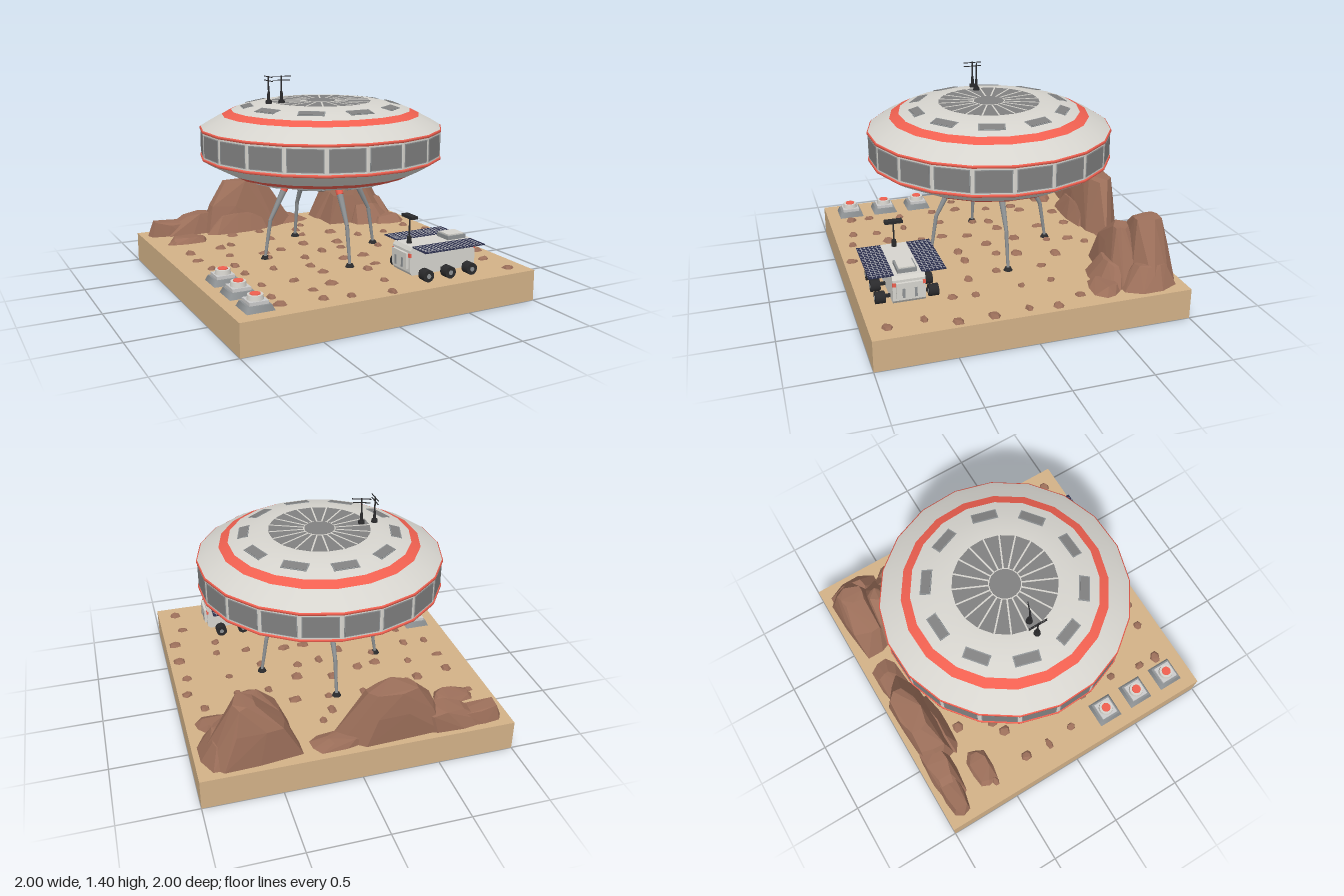
import * as THREE from 'three';
import { ConvexGeometry } from 'three/addons/geometries/ConvexGeometry.js';

const mat = (color, extra = {}) => new THREE.MeshStandardMaterial({ color, ...extra });
const M = {
  shell: mat(0xd6d4ce), red: mat(0xf06050), glass: mat(0x808080), grey: mat(0xcccccc), steel: mat(0x8e9294),
  dark: mat(0x2a2a2c), sand: mat(0xd2b187), navy: mat(0x2b2f4c),
  rock: mat(0x9c6f5a, { flatShading: true }), wall: mat(0xd6d4ce, { flatShading: true }),
};
const SIDES = 20, STEP = Math.PI * 2 / SIDES, OFFSET = THREE.MathUtils.degToRad(11.5);

let seed = 7;
const rand = () => (seed = (seed * 16807) % 2147483647) / 2147483647;
const jitter = a => (rand() - 0.5) * 2 * a;

function add(parent, name, geo, material, x = 0, y = 0, z = 0) {
  const mesh = new THREE.Mesh(geo, material);
  mesh.name = name;
  mesh.position.set(x, y, z);
  parent.add(mesh);
  return mesh;
}
function group(parent, name, x = 0, y = 0, z = 0) {
  const g = new THREE.Group();
  g.name = name;
  g.position.set(x, y, z);
  parent.add(g);
  return g;
}
const box = (p, name, m, w, h, d, x, y, z) => add(p, name, new THREE.BoxGeometry(w, h, d), m, x, y, z);
const cyl = (p, name, m, rTop, rBottom, h, x, y, z, n = 16) =>
  add(p, name, new THREE.CylinderGeometry(rTop, rBottom, h, n, 1, false, OFFSET), m, x, y, z);

// Tapered rod between two points
function rod(p, name, m, a, b, ra, rb, n = 8) {
  const A = new THREE.Vector3(...a), B = new THREE.Vector3(...b), dir = B.clone().sub(A);
  const mesh = add(p, name, new THREE.CylinderGeometry(rb, ra, dir.length(), n), m);
  mesh.position.copy(A).add(B).multiplyScalar(0.5);
  mesh.quaternion.setFromUnitVectors(new THREE.Vector3(0, 1, 0), dir.normalize());
}

// Faceted stone: hull of jittered rings, each level is [y, x, z, width, depth]
function stone(parent, name, levels, n, rough) {
  const pts = [];
  levels.forEach(([y, x, z, w, d], level) => {
    for (let i = 0; i < n; i++) {
      const a = (i + 0.5 + jitter(0.2)) / n * Math.PI * 2, c = Math.cos(a), s = Math.sin(a);
      const k = 0.5 / Math.pow(c ** 4 + s ** 4, 0.25) * (1 + jitter(rough));
      pts.push(new THREE.Vector3(x + c * w * k, y + (level ? jitter(rough * 0.15) : 0), z + s * d * k));
    }
  });
  return add(parent, name, new ConvexGeometry(pts), M.rock);
}

const lathe = (p, name, m, pts) => add(p, name,
  new THREE.LatheGeometry(pts.map(q => new THREE.Vector2(...q)), SIDES, OFFSET), m);

// Upper (s = 1) or lower (s = -1) half of the saucer
function dome(parent, s) {
  const g = group(parent, s > 0 ? 'upperDome' : 'lowerDome');
  const strip = (name, m, pts) => {
    const q = pts.map(([r, y]) => [r, y * s]);
    lathe(g, name, m, s > 0 ? q : q.reverse());
  };
  strip('rimStripe', M.red, [[0.787, 0.08], [0.797, 0.083], [0.797, 0.095], [0.79, 0.099]]);
  strip('outerShell', M.shell, [[0.79, 0.099], [0.74, 0.13], [0.65, 0.177]]);
  strip('redBand', M.red, [[0.65, 0.177], [0.59, 0.207]]);
  strip('innerShell', M.shell, [[0.59, 0.207], [0.5, 0.235], [0.4, 0.256], [0.33, 0.26]]);
  // Central disc with spokes and hub
  cyl(g, 'centreDisc', M.glass, 0.33, 0.33, 0.006, 0, 0.258 * s, 0, SIDES);
  cyl(g, 'hubRing', M.shell, 0.105, 0.105, 0.008, 0, 0.259 * s, 0, SIDES);
  cyl(g, 'hub', M.glass, 0.098, 0.098, 0.012, 0, 0.259 * s, 0, SIDES);
  for (let i = 0; i < SIDES; i++) {
    const pivot = group(g, 'spokePivot');
    pivot.rotation.y = OFFSET + i * STEP;
    box(pivot, 'spoke', M.shell, 0.01, 0.006, 0.23, 0, 0.26 * s, 0.215);
  }
  // Ten small skylights
  for (let i = 0; i < SIDES; i += 2) {
    const pivot = group(g, 'skylightPivot');
    pivot.rotation.y = OFFSET + (i - 0.5) * STEP;
    const hatch = group(pivot, 'skylight', 0, 0.234 * s, 0.487);
    hatch.rotation.x = 0.25 * s;
    box(hatch, 'skylightFrame', M.steel, 0.165, 0.01, 0.07, 0, 0, 0);
    box(hatch, 'skylightGlass', M.glass, 0.15, 0.014, 0.056, 0, 0, 0);
  }
}

function saucer(root) {
  const g = group(root, 'saucer', -0.007, 0.965, 0);
  dome(g, 1);
  dome(g, -1);
  lathe(g, 'windowWall', M.wall, [[0.79, -0.085], [0.79, 0.085]]);
  for (let i = 0; i < SIDES; i++) {
    const pivot = group(g, 'windowPivot');
    pivot.rotation.y = OFFSET + (i + 0.5) * STEP;
    box(pivot, 'windowFrame', M.steel, 0.222, 0.142, 0.01, 0, 0, 0.777);
    box(pivot, 'window', M.glass, 0.21, 0.132, 0.01, 0, 0, 0.779);
  }
  // Roof antennas
  [[-0.372, Math.PI / 2], [-0.282, -0.35]].forEach(([x, turn], i) => {
    const a = group(g, 'antenna', x, 0.26, 0);
    a.rotation.y = turn;
    cyl(a, 'antennaBase', M.dark, 0.02, 0.022, 0.02, 0, 0.01, 0);
    cyl(a, 'antennaSleeve', M.dark, 0.008, 0.011, 0.06, 0, 0.045, 0);
    cyl(a, 'antennaMast', M.dark, 0.005, 0.005, 0.175, 0, 0.0875, 0);
    box(a, 'crossbar', M.dark, 0.125, 0.005, 0.005, 0, 0.17, 0);
    box(a, 'crossbar', M.dark, i ? 0.11 : 0.125, 0.005, 0.005, 0, 0.145, 0);
  });
  // Four bent legs
  for (let i = 0; i < 4; i++) {
    const leg = group(root, 'leg', -0.007, 0, 0);
    leg.rotation.y = i * Math.PI / 2;
    rod(leg, 'legThigh', M.steel, [0, 0.46, 0.37], [0, 0.72, 0.235], 0.013, 0.026);
    rod(leg, 'legStripe', M.red, [0, 0.645, 0.274], [0, 0.675, 0.258], 0.0235, 0.0255);
    rod(leg, 'legShin', M.steel, [0, 0.21, 0.41], [0, 0.46, 0.37], 0.01, 0.014);
    cyl(leg, 'foot', M.dark, 0.02, 0.03, 0.02, 0, 0.21, 0.41, 12);
  }
}

function rover(root) {
  const g = group(root, 'rover', 0.43, 0, 0.71);
  const s = new THREE.Shape([[-0.225, 0.225], [0.225, 0.225], [0.24, 0.245], [0.24, 0.38], [0.225, 0.402],
    [-0.225, 0.402], [-0.24, 0.38], [-0.24, 0.245]].map(p => new THREE.Vector2(...p)));
  add(g, 'roverBody', new THREE.ExtrudeGeometry(s, { depth: 0.2, bevelEnabled: false }), M.shell, 0, 0, -0.1);
  for (const e of [-1, 1]) {
    box(g, 'endPlate', M.shell, 0.025, 0.1, 0.16, e * 0.245, 0.315, 0);
    for (const z of [-0.037, 0.037]) {
      box(g, 'endSlot', M.steel, 0.02, 0.06, 0.016, e * 0.252, 0.3, z);
      box(g, 'tailLight', M.red, 0.012, 0.025, 0.02, e * 0.238, 0.352, z * 2.45);
    }
  }
  // Roof hatch and camera mast
  box(g, 'hatchBase', M.steel, 0.135, 0.03, 0.12, 0.13, 0.412, 0);
  box(g, 'hatchLid', M.shell, 0.115, 0.03, 0.1, 0.13, 0.42, 0);
  cyl(g, 'mastBase', M.dark, 0.014, 0.016, 0.045, -0.185, 0.424, 0);
  cyl(g, 'mast', M.dark, 0.005, 0.005, 0.17, -0.185, 0.485, 0);
  box(g, 'cameraHead', M.dark, 0.045, 0.018, 0.115, -0.185, 0.572, 0);
  for (const side of [-1, 1]) {
    // Solar panel with cell lines
    const panel = group(g, 'solarPanel', -0.003, 0.401, side * 0.16);
    box(panel, 'solarSheet', M.navy, 0.435, 0.006, 0.152, 0, 0, 0);
    for (let i = 1; i < 18; i++) box(panel, 'cellLine', M.grey, 0.0025, 0.008, 0.152, -0.2175 + i * 0.02417, 0, 0);
    for (let i = 1; i < 6; i++) box(panel, 'cellLine', M.grey, 0.435, 0.008, 0.0025, 0, 0, -0.076 + i * 0.0253);
    // Wheels and axles
    for (const x of [-0.165, -0.005, 0.155]) {
      cyl(g, 'wheel', M.dark, 0.038, 0.038, 0.06, x, 0.24, side * 0.165, 14).rotation.x = Math.PI / 2;
      cyl(g, 'wheelHub', M.steel, 0.015, 0.015, 0.066, x, 0.24, side * 0.165, 10).rotation.x = Math.PI / 2;
      box(g, 'axle', M.dark, 0.018, 0.018, 0.08, x, 0.245, side * 0.11);
    }
  }
}

export function createModel() {
  const root = new THREE.Group();
  root.name = 'desertStation';
  box(root, 'ground', M.sand, 2, 0.2, 2, 0, 0.1, 0);
  saucer(root);
  rover(root);

  // Landing beacons
  for (const z of [0.32, 0.573, 0.826]) {
    const b = group(root, 'beacon', -0.835, 0.2, z);
    const base = cyl(b, 'beaconBase', M.steel, 0.099, 0.12, 0.035, 0, 0.0175, 0, 4);
    base.rotation.y = Math.PI / 4 - OFFSET;
    box(b, 'beaconPlate', M.grey, 0.115, 0.03, 0.115, 0, 0.04, 0);
    cyl(b, 'beaconDrum', M.shell, 0.046, 0.05, 0.03, 0, 0.068, 0);
    cyl(b, 'beaconLamp', M.red, 0.03, 0.032, 0.01, 0, 0.084, 0);
  }

  // Rock outcrops along the back edge
  [
    [[0.2, -0.22, -0.84, 0.7, 0.25], [0.38, -0.25, -0.86, 0.5, 0.22], [0.545, -0.21, -0.87, 0.32, 0.16]],
    [[0.2, -0.6, -0.87, 0.5, 0.2], [0.33, -0.54, -0.88, 0.28, 0.14]],
    [[0.2, -0.78, -0.88, 0.34, 0.16], [0.29, -0.77, -0.88, 0.27, 0.12]],
    [[0.2, 0.12, -0.86, 0.36, 0.18], [0.24, 0.07, -0.87, 0.25, 0.12]],
    [[0.2, -0.33, -0.73, 0.45, 0.12], [0.32, -0.3, -0.77, 0.3, 0.08]],
    [[0.2, -0.73, -0.63, 0.26, 0.15], [0.225, -0.73, -0.63, 0.2, 0.11]],
    [[0.2, 0.65, -0.82, 0.58, 0.28], [0.42, 0.63, -0.83, 0.36, 0.24], [0.585, 0.69, -0.82, 0.13, 0.17]],
    [[0.2, 0.62, -0.67, 0.48, 0.26], [0.4, 0.58, -0.67, 0.26, 0.16], [0.53, 0.63, -0.67, 0.1, 0.09]],
    [[0.2, 0.7, -0.55, 0.34, 0.18], [0.32, 0.68, -0.6, 0.2, 0.1]],
    [[0.2, 0.85, -0.76, 0.22, 0.36], [0.34, 0.83, -0.79, 0.12, 0.2]],
    [[0.2, 0.82, -0.48, 0.24, 0.16], [0.24, 0.81, -0.5, 0.16, 0.1]],
  ].forEach(levels => stone(root, 'outcrop', levels, 9, 0.1));

  // Pebbles scattered over the sand
  for (let i = 0; i < 9; i++) for (let j = 0; j < 8; j++) {
    const x = -0.88 + i * 0.22 + jitter(0.07), z = -0.6 + j * 0.215 + jitter(0.07);
    const blocked = (x < -0.7 && z > 0.2) || (x > 0.35 && z < -0.35) || (Math.abs(x - 0.43) < 0.3 && z > 0.45);
    if (blocked || z > 0.96) continue;
    const w = 0.065 + jitter(0.02), d = 0.065 + jitter(0.02);
    stone(root, 'pebble', [[0.2, x, z, w, d], [0.214, x, z, w * 0.7, d * 0.7]], 6, 0.04);
  }
  return root;
}
